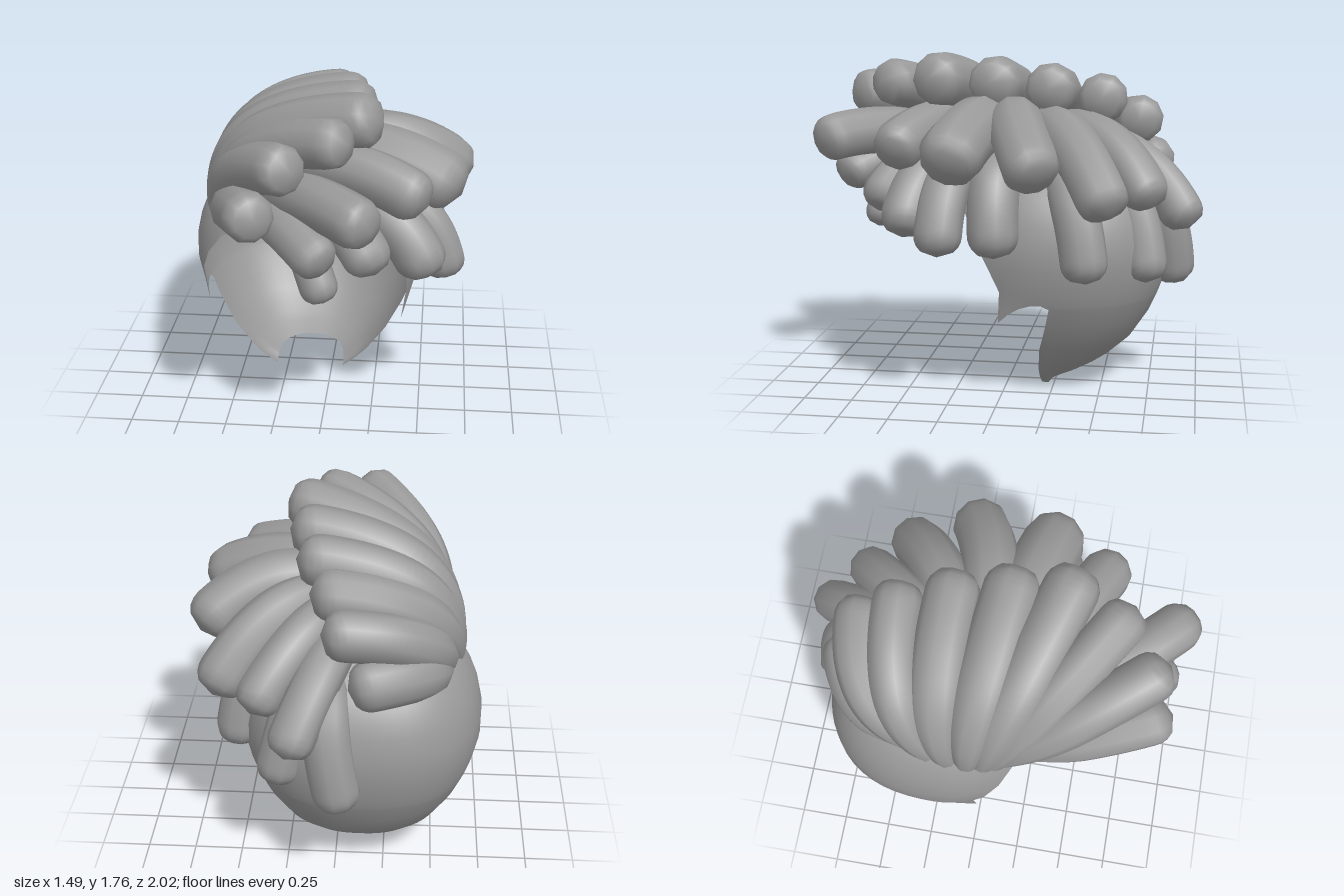
import * as THREE from 'three';
import { mergeVertices } from 'three/addons/utils/BufferGeometryUtils.js';

const hair = new THREE.MeshStandardMaterial({ color: 0x999999, side: THREE.DoubleSide });
hair.name = 'grey hair';

// Weld seams and smooth the normals
function smooth(geo) {
  geo.deleteAttribute('uv');
  geo.deleteAttribute('normal');
  const welded = mergeVertices(geo, 1e-4);
  welded.computeVertexNormals();
  return welded;
}

// Scalp shell: an egg open at the face. Each row is [height, half angle from the back]
function scalpShell() {
  const rows = [[0, 101], [0.06, 99], [0.12, 97], [0.25, 93], [0.4, 88], [0.5, 86], [0.52, 114],
    [0.58, 112], [0.7, 117], [0.82, 125], [0.93, 134], [1.0, 145], [1.05, 180], [1.1, 180],
    [1.2, 180], [1.28, 180], [1.33, 180], [1.35, 180]];
  const cols = 60, pos = [], index = [];
  rows.forEach(([h, limit], j) => {
    for (let i = 0; i <= cols; i++) {
      const deg = THREE.MathUtils.clamp(i * 6 - 180, -limit, limit);
      const a = THREE.MathUtils.degToRad(deg);
      const t = h - 0.75;
      const f = t < 0 ? Math.pow(1 - Math.pow(-t / 0.83, 1.6), 0.625)
        : Math.sqrt(Math.max(0, 1 - (t / 0.6) ** 2));
      let y = h;
      if (h < 0.3) y += 0.08 * Math.sqrt(Math.max(0, Math.cos(a))) * (1 - h / 0.3); // nape arch
      if (h === 0.52) y -= 0.11 * THREE.MathUtils.clamp((Math.abs(deg) - 92) / 22, 0, 1) ** 2; // sideburn
      // the back is slightly squarer in plan than the front
      const s = Math.sin(a), c = Math.cos(a), back = c > 0;
      const p = back ? 2.4 : 2;
      const k = f * Math.pow(Math.abs(s) ** p + Math.abs(c) ** p, -1 / p);
      pos.push(-0.125 + 0.615 * k * s, y, -0.22 - (back ? 0.63 : 0.6) * k * c);
      const notch = h === 0.5 && Math.abs(i * 6 - 177) > 90;
      if (i < cols && j < rows.length - 1 && !notch) {
        const m = j * (cols + 1) + i, n = m + cols + 1;
        index.push(m, n, m + 1, m + 1, n, n + 1);
      }
    }
  });
  const geo = new THREE.BufferGeometry();
  geo.setAttribute('position', new THREE.Float32BufferAttribute(pos, 3));
  geo.setIndex(index);
  return smooth(geo);
}

// Lock: a bent tube, thinner at the root, full and bluntly rounded at the tip
function lock(root, bend, tip, r) {
  const a = new THREE.Vector3(...root), b = new THREE.Vector3(...bend), c = new THREE.Vector3(...tip);
  const end = c.clone().addScaledVector(c.clone().sub(b).normalize(), r);
  const curve = new THREE.QuadraticBezierCurve3(a, b, end);
  const steps = 30, sides = 10, length = curve.getLength();
  const geo = new THREE.TubeGeometry(curve, steps, 1, sides);
  const pos = geo.attributes.position, v = new THREE.Vector3();
  for (let i = 0; i <= steps; i++) {
    const t = i / steps, centre = curve.getPointAt(t);
    const body = r * (0.5 + 0.54 * Math.sin(Math.min(1, t / 0.5) * Math.PI / 2));
    const over = Math.max(0, 1 - (1 - t) * length / r);
    const radius = body * Math.sqrt(Math.max(0, 1 - Math.pow(over, 2.4)));
    for (let k = 0; k <= sides; k++) {
      const n = i * (sides + 1) + k;
      v.fromBufferAttribute(pos, n).sub(centre).multiplyScalar(radius).add(centre);
      pos.setXYZ(n, v.x, v.y, v.z);
    }
  }
  return smooth(geo);
}

// Each lock: root, bend, tip centre, radius
const layers = {
  topLock: [
    [[-0.48, 1.03, -0.28], [-0.52, 1.24, -0.68], [-0.19, 1.19, -0.74], 0.12],
    [[-0.53, 1.05, -0.28], [-0.5, 1.42, -0.68], [-0.06, 1.42, -0.68], 0.12],
    [[-0.57, 1.05, -0.23], [-0.52, 1.52, -0.5], [0.0, 1.53, -0.49], 0.125],
    [[-0.58, 1.05, -0.15], [-0.53, 1.56, -0.27], [0.08, 1.58, -0.23], 0.13],
    [[-0.58, 1.05, -0.05], [-0.53, 1.58, -0.03], [0.13, 1.61, 0.05], 0.135],
    [[-0.57, 1.05, 0.03], [-0.51, 1.57, 0.12], [0.17, 1.63, 0.33], 0.135],
    [[-0.56, 1.05, 0.08], [-0.46, 1.54, 0.28], [0.05, 1.6, 0.59], 0.12],
    [[-0.54, 1.05, 0.1], [-0.46, 1.47, 0.42], [-0.17, 1.53, 0.77], 0.12],
    [[-0.47, 1.04, 0.12], [-0.45, 1.27, 0.52], [-0.31, 1.31, 0.81], 0.12],
  ],
  middleLock: [
    [[-0.3, 1.2, 0.3], [-0.1, 1.41, 0.62], [0.19, 1.33, 0.88], 0.12],
    [[-0.3, 1.3, 0.15], [0.1, 1.5, 0.35], [0.42, 1.33, 0.49], 0.125],
    [[-0.2, 1.3, 0], [0.25, 1.52, 0.13], [0.56, 1.31, 0.2], 0.155],
    [[-0.1, 1.35, -0.05], [0.35, 1.54, -0.02], [0.61, 1.27, -0.18], 0.14],
    [[-0.1, 1.35, -0.1], [0.32, 1.5, -0.33], [0.54, 1.11, -0.52], 0.13],
    [[-0.1, 1.35, -0.15], [0.15, 1.45, -0.56], [0.34, 1.12, -0.72], 0.115],
    [[-0.1, 1.3, -0.2], [0.03, 1.36, -0.72], [0.18, 0.99, -0.9], 0.11],
  ],
  lowerLock: [
    [[-0.33, 1.12, 0.3], [-0.2, 1.27, 0.65], [-0.01, 1.14, 0.83], 0.11],
    [[-0.14, 1.15, 0.38], [-0.06, 1.12, 0.66], [0.01, 0.91, 0.69], 0.09],
    [[-0.1, 1.2, 0.25], [0.13, 1.25, 0.55], [0.23, 1.06, 0.61], 0.12],
    [[0, 1.2, 0.2], [0.38, 1.27, 0.42], [0.49, 0.99, 0.45], 0.125],
    [[0.1, 1.2, 0.15], [0.53, 1.28, 0.27], [0.6, 0.91, 0.27], 0.115],
    [[0.1, 1.2, 0], [0.5, 1.28, 0.03], [0.52, 0.9, 0.01], 0.125],
    [[0.2, 1.15, -0.25], [0.46, 1.17, -0.4], [0.49, 0.77, -0.44], 0.115],
    [[0.1, 1.15, -0.45], [0.17, 1.15, -0.7], [0.26, 0.73, -0.73], 0.11],
    [[-0.02, 1.15, -0.5], [0.09, 1.15, -0.86], [-0.02, 0.67, -0.86], 0.115],
  ],
};

export function createModel() {
  const model = new THREE.Group();
  model.name = 'hair';
  const add = (name, geo) => {
    const mesh = new THREE.Mesh(geo, hair);
    mesh.name = name;
    model.add(mesh);
  };
  add('scalpShell', scalpShell());
  for (const [name, locks] of Object.entries(layers)) {
    locks.forEach((spec, i) => add(name + (i + 1), lock(...spec)));
  }
  return model;
}
